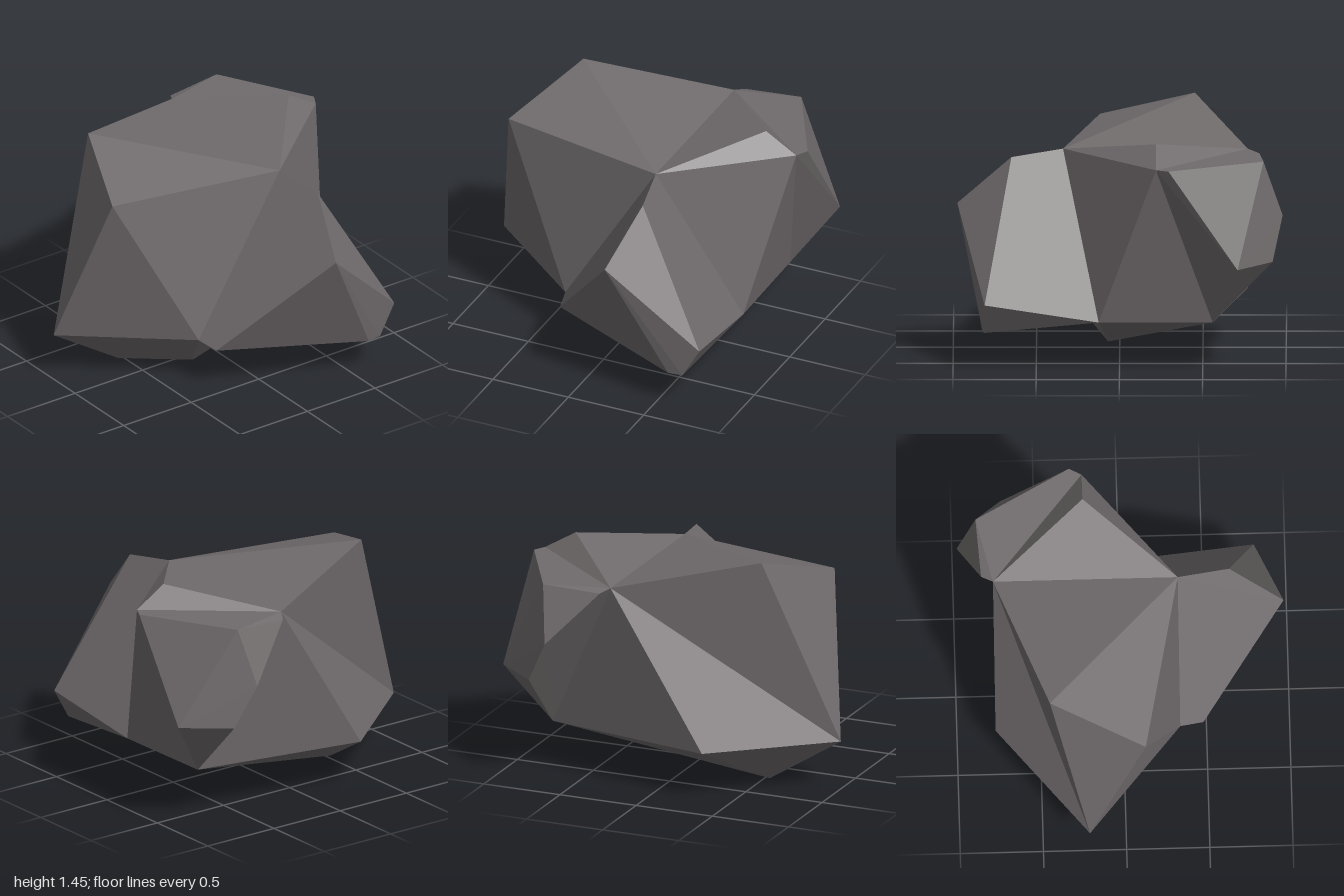
import * as THREE from 'three';
import { ConvexGeometry } from 'three/addons/geometries/ConvexGeometry.js';

// Corners of the main boulder
const V = {
  A: [-0.58, 1.445, -0.45], B: [-0.81, 1.27, 0.12], C: [0.27, 1.27, 0.34],
  D: [-1, 0.3, -0.22], E: [-0.33, 0.3, -0.77], F: [0.27, 1.27, -0.77],
  G: [0.94, 1.27, -0.22], H: [-0.33, 0.3, 0.34], I: [0.75, 0.3, 0.125],
  J: [0.74, 1.39, -0.22], K: [-0.53, 0, -0.21], L: [-0.18, 0, 0.07],
  M: [0.74, 0.3, -0.56],
};
const FACES = 'ABC ACF CJF DAB DAF DFE FJG CJG BCH BHD CIG CHI GIM FGM FME ILM LKM KEM KDE DHK HKL HLI';

const vec = (p) => new THREE.Vector3(...p);

// Faceted solid from named corners; every face is turned to point away from the middle
function facetedSolid(corners, faces) {
  const middle = new THREE.Vector3(0, 0.75, -0.15);
  const points = [];
  for (const face of faces.split(' ')) {
    const [a, b, c] = [...face].map((k) => vec(corners[k]));
    const normal = b.clone().sub(a).cross(c.clone().sub(a));
    const outward = normal.dot(a.clone().sub(middle)) > 0;
    points.push(a, ...(outward ? [b, c] : [c, b]));
  }
  const geometry = new THREE.BufferGeometry().setFromPoints(points);
  geometry.computeVertexNormals();
  return geometry;
}

export function createModel() {
  const group = new THREE.Group();
  group.name = 'rock';
  const stone = new THREE.MeshStandardMaterial({ color: 0x706b6c });
  stone.name = 'stone grey';
  stone.flatShading = true;

  const add = (name, geometry) => {
    const mesh = new THREE.Mesh(geometry, stone);
    mesh.name = name;
    group.add(mesh);
  };

  add('boulder', facetedSolid(V, FACES));

  // Outcrop growing from the front face
  add('frontOutcrop', new ConvexGeometry([
    V.C, V.H, V.I,
    [0.23, 0.93, 0.975], [0.33, 1.23, 0.65], [0.78, 0.41, 0.81],
    [0.58, 0.22, 0.825], [0.67, 0.22, 0.815], [-0.3, 0.28, 0.48],
  ].map(vec)));

  // Outcrop growing from the back left face
  add('backOutcrop', new ConvexGeometry([
    V.F, V.G, V.M,
    [0.98, 1.27, -0.295], [1, 0.67, -0.71], [0.74, 0.67, -0.92],
    [0.61, 0.93, -0.98], [0.67, 1.27, -0.865], [0.31, 1.25, -0.84],
  ].map(vec)));

  return group;
}
